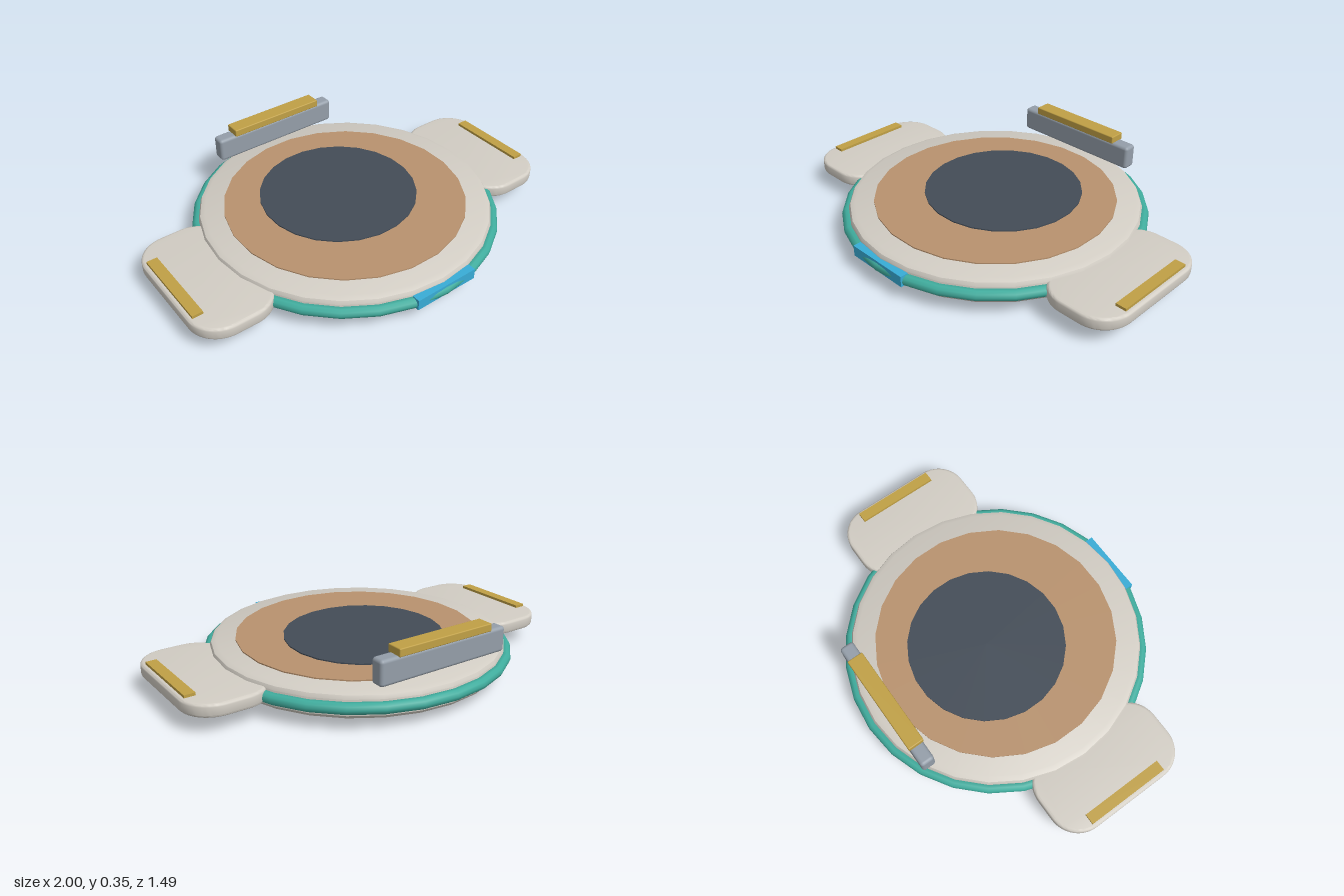
import * as THREE from 'three';
import { toCreasedNormals } from 'three/addons/utils/BufferGeometryUtils.js';
import { RoundedBoxGeometry } from 'three/addons/geometries/RoundedBoxGeometry.js';

const mat = (name, color) => Object.assign(new THREE.MeshStandardMaterial({ color }), { name });

export function createModel() {
  const shell = mat('warm grey shell', 0xd2cdc4);
  const tan = mat('tan pad', 0xb8926e);
  const slate = mat('slate disc', 0x434c57);
  const rubber = mat('black rubber', 0x222222);
  const teal = mat('teal trim', 0x40ad9e);
  const gold = mat('gold trim', 0xc0a045);
  const steel = mat('steel grey', 0x949ea9);
  const blue = mat('blue light', 0x38acd6);

  const model = new THREE.Group();
  const add = (name, geometry, material, x = 0, y = 0, z = 0) => {
    const mesh = new THREE.Mesh(geometry, material);
    mesh.name = name;
    mesh.position.set(x, y, z);
    model.add(mesh);
    return mesh;
  };
  // Disc turned from a profile of [radius, height] points
  const turned = (points, segments) => toCreasedNormals(
    new THREE.LatheGeometry(points.map(([r, y]) => new THREE.Vector2(r, y)), segments), 0.5);

  // Stacked discs
  add('base', turned([[0, 0], [0.555, 0], [0.57, 0.012], [0.57, 0.05], [0, 0.05]], 28), rubber);
  add('body', turned([
    [0, 0.042], [0.675, 0.042], [0.7, 0.05], [0.712, 0.066],
    [0.712, 0.14], [0.704, 0.156], [0.68, 0.166], [0, 0.166],
  ], 28), shell);
  add('pad', new THREE.CylinderGeometry(0.59, 0.59, 0.012, 24), tan, 0, 0.166, 0)
    .rotation.y = Math.PI / 24;
  add('centreDisc', new THREE.CylinderGeometry(0.387, 0.387, 0.016, 24), slate, 0, 0.17, -0.055)
    .rotation.y = Math.PI / 24;

  // Trim ring around the rim, with a light set in its front
  add('trimRing', new THREE.TorusGeometry(0.72, 0.027, 10, 28).rotateX(Math.PI / 2), teal, 0, 0.105, 0);
  add('frontLight', new THREE.BoxGeometry(0.33, 0.054, 0.04), blue, 0, 0.11, 0.715);

  // Side wings: rounded plates with a soft edge
  const bevel = 0.013, w = 0.2 - bevel, h = 0.345 - bevel, r = 0.15 - bevel;
  const outline = new THREE.Shape();
  outline.absarc(w - r, h - r, r, 0, Math.PI / 2);
  outline.absarc(r - w, h - r, r, Math.PI / 2, Math.PI);
  outline.absarc(r - w, r - h, r, Math.PI, Math.PI * 1.5);
  outline.absarc(w - r, r - h, r, Math.PI * 1.5, Math.PI * 2);
  const wing = toCreasedNormals(new THREE.ExtrudeGeometry(outline, {
    depth: 0.062 - 2 * bevel, bevelThickness: bevel, bevelSize: bevel, bevelSegments: 3, curveSegments: 8,
  }).rotateX(-Math.PI / 2), 0.6);
  for (const [side, s] of [['left', 1], ['right', -1]]) {
    add(side + 'Wing', wing, shell, s * 0.8, 0.081 + bevel, 0.045);
    add(side + 'WingStrip', new THREE.BoxGeometry(0.052, 0.03, 0.42), gold, s * 0.954, 0.141, 0.042);
  }

  // Raised bar at the back
  add('rearBar', new RoundedBoxGeometry(0.686, 0.12, 0.07, 3, 0.016), steel, 0, 0.259, -0.62);
  add('rearBarCap', new RoundedBoxGeometry(0.507, 0.038, 0.08, 2, 0.005), gold, 0, 0.334, -0.62);

  return model;
}
